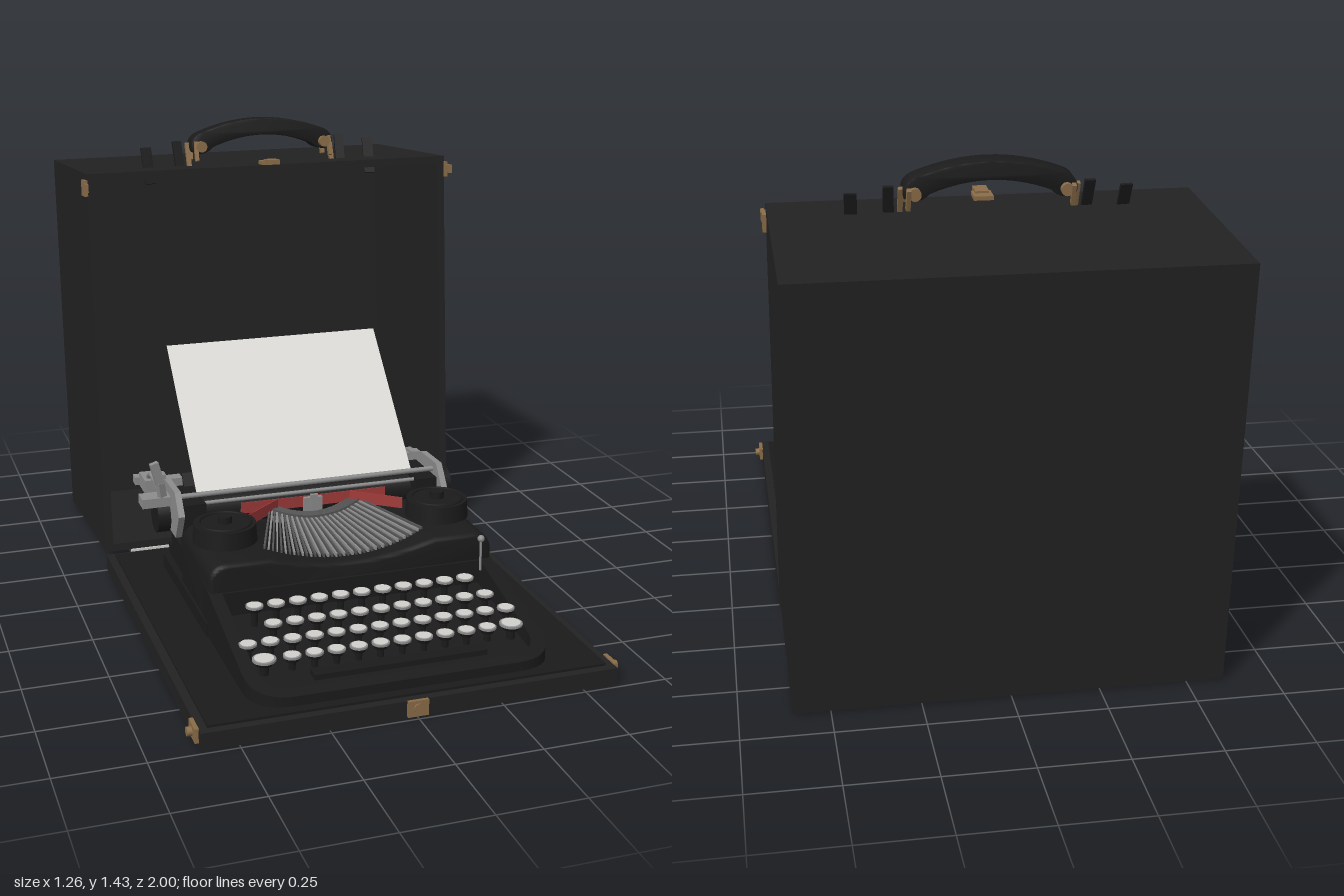
import * as THREE from 'three';
import { toCreasedNormals } from 'three/addons/utils/BufferGeometryUtils.js';

const material = (name, color, side = THREE.FrontSide) => {
  const m = new THREE.MeshStandardMaterial({ color, side });
  m.name = name;
  return m;
};

export function createModel() {
  const caseBlack = material('case black', 0x222222);
  const enamel = material('black enamel', 0x1b1b1b);
  const steel = material('steel', 0x8c8c8c);
  const darkSteel = material('dark steel', 0x555555);
  const brass = material('brass', 0x8a6c48);
  const keyWhite = material('key ivory', 0xd2d0cc);
  const paperWhite = material('paper', 0xdcdbd8, THREE.DoubleSide);
  const red = material('ribbon red', 0xa03a3a);

  const model = new THREE.Group();
  model.name = 'portableTypewriter';
  const group = (name, parent = model) => {
    const g = new THREE.Group();
    g.name = name;
    parent.add(g);
    return g;
  };
  const add = (parent, name, geo, mat, x = 0, y = 0, z = 0) => {
    const m = new THREE.Mesh(geo, mat);
    m.name = name;
    m.position.set(x, y, z);
    parent.add(m);
    return m;
  };
  // box given by its limits
  const box = (parent, name, mat, x0, x1, y0, y1, z0, z1) =>
    add(parent, name, new THREE.BoxGeometry(x1 - x0, y1 - y0, z1 - z0), mat, (x0 + x1) / 2, (y0 + y1) / 2, (z0 + z1) / 2);
  const cylY = (parent, name, mat, r0, r1, h, x, y, z, n = 24) =>
    add(parent, name, new THREE.CylinderGeometry(r0, r1, h, n), mat, x, y, z);
  const cylX = (parent, name, mat, r, x0, x1, y, z, n = 24) =>
    add(parent, name, new THREE.CylinderGeometry(r, r, x1 - x0, n).rotateZ(Math.PI / 2), mat, (x0 + x1) / 2, y, z);
  // flat bar whose length runs from a to b
  const bar = (parent, name, mat, a, b, w, h) => {
    const p = new THREE.Vector3(...a), q = new THREE.Vector3(...b);
    const m = add(parent, name, new THREE.BoxGeometry(w, h, p.distanceTo(q)), mat);
    m.position.copy(p).add(q).multiplyScalar(0.5);
    m.lookAt(q);
    return m;
  };
  const polygon = (pts) => new THREE.Shape(pts.map(([x, y]) => new THREE.Vector2(x, y)));
  const tube = (parent, name, mat, pts, r) => add(parent, name,
    new THREE.TubeGeometry(new THREE.CatmullRomCurve3(pts.map((p) => new THREE.Vector3(...p)), false, 'catmullrom', 0.2), 32, r, 8), mat);

  // ---- case base
  const base = group('caseBase');
  box(base, 'basePanel', caseBlack, -0.605, 0.605, 0, 0.05, -0.26, 0.985);
  box(base, 'baseLip', enamel, -0.58, 0.58, 0.05, 0.057, -0.24, 0.96);
  box(base, 'frontLatch', brass, -0.03, 0.03, 0.005, 0.052, 0.985, 0.995);
  cylY(base, 'frontLatchStud', brass, 0.014, 0.014, 0.01, 0, 0.03, 0.995).rotation.x = Math.PI / 2;
  for (const s of [-1, 1]) {
    box(base, 'sideLatch', brass, s * 0.61 - 0.006, s * 0.61 + 0.006, 0.012, 0.054, 0.9, 0.965);
    cylX(base, 'sideLatchStud', brass, 0.013, s * 0.62 - 0.01, s * 0.62 + 0.01, 0.032, 0.93, 12);
    box(base, 'hinge', keyWhite, s * 0.37 - 0.15, s * 0.37 + 0.15, 0.04, 0.058, -0.275, -0.26);
  }

  // ---- open lid, leaning back from the hinge
  const lid = group('caseLid');
  lid.position.set(0, 0.057, -0.265);
  lid.rotation.x = -0.08;
  const W = 0.605, H = 1.243, D = 0.637, T = 0.025;
  box(lid, 'lidBack', caseBlack, -W, W, 0, H, -D, -D + T);
  box(lid, 'lidTop', caseBlack, -W, W, H - T, H, -D + T, 0);
  box(lid, 'lidBottom', caseBlack, -W, W, 0, T, -D + T, 0);
  box(lid, 'lidLatch', brass, -0.028, 0.028, H, H + 0.012, -0.05, 0.005);
  box(lid, 'lidLatchHook', brass, -0.02, 0.02, H + 0.005, H + 0.018, -0.02, 0.035);
  for (const s of [-1, 1]) {
    box(lid, 'lidSide', caseBlack, s > 0 ? W - T : -W, s > 0 ? W : T - W, T, H - T, -D + T, 0);
    box(lid, 'lidSideLatch', brass, s * 0.61 - 0.006, s * 0.61 + 0.006, H - 0.07, H - 0.02, -0.045, 0.005);
    box(lid, 'lidSideHook', brass, s * 0.613 - 0.005, s * 0.613 + 0.005, H - 0.055, H - 0.028, 0.005, 0.04);
  }

  // ---- carrying handle
  const handle = group('handle', lid);
  handle.position.set(0, H, -0.125);
  const grip = new THREE.Shape();
  grip.moveTo(-0.235, 0.05);
  grip.quadraticCurveTo(-0.245, 0.09, -0.2, 0.105);
  grip.quadraticCurveTo(0, 0.18, 0.2, 0.105);
  grip.quadraticCurveTo(0.245, 0.09, 0.235, 0.05);
  grip.quadraticCurveTo(0.2, 0.03, 0.17, 0.062);
  grip.quadraticCurveTo(0, 0.13, -0.17, 0.062);
  grip.quadraticCurveTo(-0.2, 0.03, -0.235, 0.05);
  const gripGeo = new THREE.ExtrudeGeometry(grip, { depth: 0.06, bevelSize: 0.004, bevelThickness: 0.004, bevelSegments: 2, curveSegments: 16 });
  add(handle, 'grip', toCreasedNormals(gripGeo, 0.6), enamel, 0, 0, -0.03);
  for (const s of [-1, 1]) {
    bar(handle, 'strapEnd', enamel, [s * 0.44, 0.003, 0], [s * 0.32, 0.008, 0], 0.035, 0.008);
    bar(handle, 'strap', enamel, [s * 0.33, 0.006, 0], [s * 0.225, 0.045, 0], 0.03, 0.01);
    cylY(handle, 'ringPin', brass, 0.018, 0.018, 0.1, s * 0.21, 0.062, 0, 14).rotation.x = Math.PI / 2;
    for (const z of [-0.042, 0.042])
      bar(handle, 'ringSide', brass, [s * 0.205, 0.07, z], [s * 0.25, 0.025, z], 0.012, 0.016);
    bar(handle, 'ringEnd', brass, [s * 0.245, 0.03, -0.045], [s * 0.245, 0.03, 0.045], 0.014, 0.014);
  }

  // ---- keyboard surround, its height rising towards the back
  const body = group('body');
  const roundedFront = (shape, w, z0, z1, r) => {
    shape.moveTo(-w, z0);
    shape.lineTo(w, z0);
    shape.lineTo(w, z1 - r);
    shape.quadraticCurveTo(w, z1, w - r, z1);
    shape.lineTo(-w + r, z1);
    shape.quadraticCurveTo(-w, z1, -w, z1 - r);
    shape.lineTo(-w, z0);
    return shape;
  };
  const tray = roundedFront(new THREE.Shape(), 0.445, 0.4, 0.93, 0.12);
  tray.holes.push(roundedFront(new THREE.Path(), 0.405, 0.47, 0.895, 0.09));
  const trayGeo = new THREE.ExtrudeGeometry(tray, { depth: 1, bevelEnabled: false, curveSegments: 10 }).rotateX(Math.PI / 2);
  const pos = trayGeo.attributes.position;
  for (let i = 0; i < pos.count; i++) {
    const top = 0.085 + (0.93 - pos.getZ(i)) * 0.24;
    pos.setY(i, 0.055 + (1 + pos.getY(i)) * (top - 0.055));
  }
  add(body, 'keyboardSurround', toCreasedNormals(trayGeo, 0.6), enamel);
  bar(body, 'keyboardBed', enamel, [0, 0.064, 0.88], [0, 0.12, 0.45], 0.8, 0.01);

  // ---- main housing with a shallow bowl for the type bars
  const front = new THREE.Shape();
  front.moveTo(-0.43, 0.06);
  front.lineTo(0.43, 0.06);
  front.lineTo(0.43, 0.23);
  front.quadraticCurveTo(0.425, 0.268, 0.385, 0.268);
  front.lineTo(0.26, 0.268);
  front.quadraticCurveTo(0, 0.19, -0.26, 0.268);
  front.lineTo(-0.385, 0.268);
  front.quadraticCurveTo(-0.425, 0.268, -0.43, 0.23);
  front.lineTo(-0.43, 0.06);
  const housing = new THREE.ExtrudeGeometry(front, { depth: 0.32, bevelSize: 0.013, bevelThickness: 0.015, bevelSegments: 3, curveSegments: 14 });
  add(body, 'housing', toCreasedNormals(housing, 0.6), enamel, 0, 0, 0.13);
  box(body, 'rearHousing', enamel, -0.43, 0.43, 0.055, 0.19, -0.06, 0.14);
  box(body, 'rearFoot', enamel, -0.43, 0.43, 0.055, 0.14, -0.1, -0.06);
  for (const s of [-1, 1]) box(body, 'sideFoot', enamel, s * 0.435 - 0.015, s * 0.435 + 0.015, 0.055, 0.1, -0.1, 0.45);
  cylY(body, 'marginStem', steel, 0.004, 0.004, 0.1, 0.4, 0.22, 0.485, 8);
  add(body, 'marginBall', new THREE.SphereGeometry(0.011, 12, 8), steel, 0.4, 0.272, 0.485);

  // ---- type bars in a fan
  const fan = group('typeBars');
  for (let i = 0; i < 41; i++) {
    const t = i / 20 - 1, a = t * 0.345;
    const at = (r, y) => [Math.sin(a) * r, y, -0.32 + Math.cos(a) * r];
    const y = 0.248 + 0.033 * t * t;
    bar(fan, 'typeBar', i % 2 ? steel : darkSteel, at(0.4, y + 0.004), at(0.74, y), 0.0055, 0.012);
    bar(fan, 'typeHead', darkSteel, at(0.41, y + 0.008), at(0.45, y + 0.008), 0.008, 0.016);
  }

  // ---- ribbon spools and ribbon
  const ribbon = group('ribbon');
  for (const s of [-1, 1]) {
    const x = s * 0.342, z = 0.27;
    cylY(ribbon, 'spoolCover', enamel, 0.094, 0.098, 0.055, x, 0.307, z, 40);
    add(ribbon, 'spoolRim', new THREE.TorusGeometry(0.078, 0.005, 6, 40).rotateX(Math.PI / 2), enamel, x, 0.335, z);
    cylY(ribbon, 'spoolNut', enamel, 0.022, 0.022, 0.022, x, 0.345, z, 16);
    bar(ribbon, 'ribbonSide', red, [s * 0.255, 0.3, 0.2], [s * 0.12, 0.297, 0.085], 0.003, 0.036);
    bar(ribbon, 'ribbonFront', red, [s * 0.24, 0.298, 0.085], [0, 0.288, 0.062], 0.003, 0.036);
  }
  box(ribbon, 'ribbonGuide', steel, -0.03, 0.03, 0.24, 0.305, 0.066, 0.082);
  box(ribbon, 'typeGuide', steel, -0.012, 0.012, 0.245, 0.318, 0.08, 0.092);
  box(ribbon, 'segment', steel, -0.13, 0.13, 0.235, 0.25, 0.06, 0.085);

  // ---- keys: count, first x, z, top y
  const keys = group('keys');
  const key = (x, y, z, r) => {
    cylY(keys, 'keyStem', enamel, r * 0.45, r * 0.35, 0.06, x, y - 0.035, z, 8);
    cylY(keys, 'keyCup', enamel, r * 0.95, r * 0.7, 0.014, x, y - 0.011, z, 16);
    cylY(keys, 'keyRing', steel, r, r, 0.006, x, y - 0.003, z, 18);
    cylY(keys, 'keyTop', keyWhite, r * 0.82, r * 0.82, 0.002, x, y + 0.001, z, 18);
  };
  const rows = [[11, -0.335, 0.56, 0.19], [11, -0.3, 0.63, 0.163], [13, -0.395, 0.7, 0.144], [10, -0.288, 0.77, 0.127]];
  for (const [n, x0, z, y] of rows) for (let i = 0; i < n; i++) key(x0 + i * 0.0652, y, z, 0.026);
  for (const s of [-1, 1]) key(s * 0.37, 0.13, 0.775, 0.034);
  box(keys, 'spaceBar', enamel, -0.255, 0.255, 0.092, 0.108, 0.828, 0.872);

  // ---- carriage
  const carriage = group('carriage');
  const side = polygon([[0.11, 0.3], [0.06, 0.365], [-0.07, 0.362], [-0.15, 0.335], [-0.215, 0.33],
    [-0.2, 0.268], [-0.14, 0.255], [-0.075, 0.27], [-0.045, 0.215], [0.06, 0.215]]);
  for (const s of [-1, 1]) {
    const plate = new THREE.ExtrudeGeometry(side, { depth: 0.02, bevelEnabled: false }).rotateY(-Math.PI / 2);
    add(carriage, 'endPlate', plate, steel, s * 0.435 + 0.01, 0, 0);
    cylX(carriage, 'platenKnob', enamel, 0.056, s * 0.472 - 0.02, s * 0.472 + 0.02, 0.268, -0.02, 28);
    box(carriage, 'endCover', enamel, s * 0.385 - 0.035, s * 0.385 + 0.035, 0.22, 0.325, -0.1, 0.08);
    box(carriage, 'marginStop', steel, s * 0.415 - 0.05, s * 0.415 + 0.05, 0.285, 0.325, -0.21, -0.17);
  }
  cylX(carriage, 'platen', enamel, 0.056, -0.43, 0.43, 0.268, -0.02, 32);
  cylX(carriage, 'paperBail', steel, 0.008, -0.42, 0.43, 0.338, 0.03, 10);
  cylX(carriage, 'frontRod', steel, 0.006, -0.42, 0.42, 0.318, 0.055, 10);
  box(carriage, 'rearRail', darkSteel, -0.44, 0.46, 0.275, 0.305, -0.2, -0.175);
  box(carriage, 'carriageBed', enamel, -0.42, 0.42, 0.19, 0.225, -0.16, 0.06);
  bar(carriage, 'paperTable', enamel, [0, 0.3, -0.075], [0, 0.36, -0.115], 0.76, 0.008);
  bar(carriage, 'paper', paperWhite, [0, 0.326, 0.008], [0, 0.715, -0.368], 0.722, 0.002);

  // ---- carriage return lever
  const lever = group('returnLever');
  box(lever, 'leverBracket', steel, -0.53, -0.43, 0.335, 0.36, -0.155, -0.12);
  box(lever, 'leverBlock', steel, -0.54, -0.45, 0.31, 0.34, -0.03, 0.03);
  box(lever, 'leverPivot', steel, -0.515, -0.47, 0.33, 0.375, -0.13, -0.04);
  tube(lever, 'leverArm', steel, [[-0.495, 0.36, -0.12], [-0.495, 0.372, -0.08], [-0.495, 0.398, -0.04], [-0.5, 0.402, 0.06], [-0.505, 0.4, 0.155]], 0.01);
  bar(lever, 'leverFinger', steel, [-0.505, 0.395, 0.155], [-0.512, 0.44, 0.158], 0.018, 0.022);
  bar(lever, 'leverTip', steel, [-0.512, 0.435, 0.158], [-0.53, 0.505, 0.16], 0.018, 0.026);

  return model;
}
